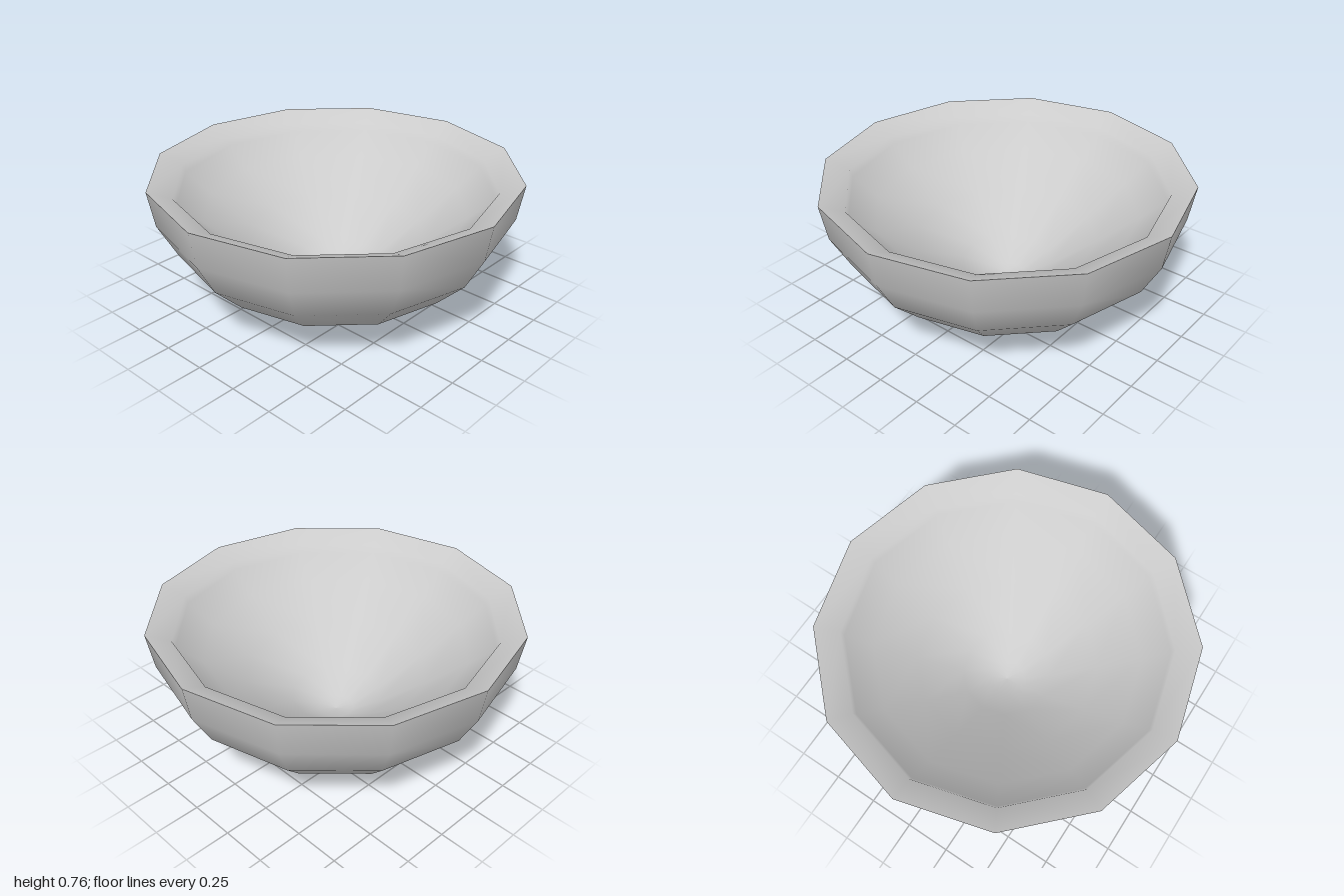
import * as THREE from 'three';

const SIDES = 12;
const RIM_Y = 0.757;

export function createModel() {
  const group = new THREE.Group();
  const material = new THREE.MeshStandardMaterial({ color: 0xcccccc });

  // Turn a list of [radius, height] pairs around the y axis
  const turn = (name, profile) => {
    const points = profile.map(([r, y]) => new THREE.Vector2(r, y));
    const mesh = new THREE.Mesh(new THREE.LatheGeometry(points, SIDES), material);
    mesh.name = name;
    group.add(mesh);
  };

  // Outer wall: flattened hemisphere in 15 degree steps, closed by a flat base
  const outer = [];
  for (let i = 5; i >= 0; i--) {
    const a = (i * Math.PI) / 12;
    outer.push([Math.cos(a), i === 5 ? 0.035 : RIM_Y - 0.764 * Math.sin(a)]);
  }
  turn('outerWall', outer);
  turn('base', [[0, 0.055], [0.21, 0.055]]);

  // Inside: sloping lip, a small step, then a funnel-like hollow
  turn('innerWall', [
    [1, RIM_Y], [0.87, 0.702], [0.855, 0.66], [0.72, 0.545], [0.5, 0.375], [0.25, 0.2], [0.1, 0.115], [0, 0.1],
  ]);

  // Foot ring, one piece per face so its edges stay sharp
  turn('footInside', [[0.205, 0.06], [0.205, 0]]);
  turn('footUnderside', [[0.205, 0], [0.26, 0]]);
  turn('footOutside', [[0.26, 0], [0.26, 0.04]]);

  return group;
}
